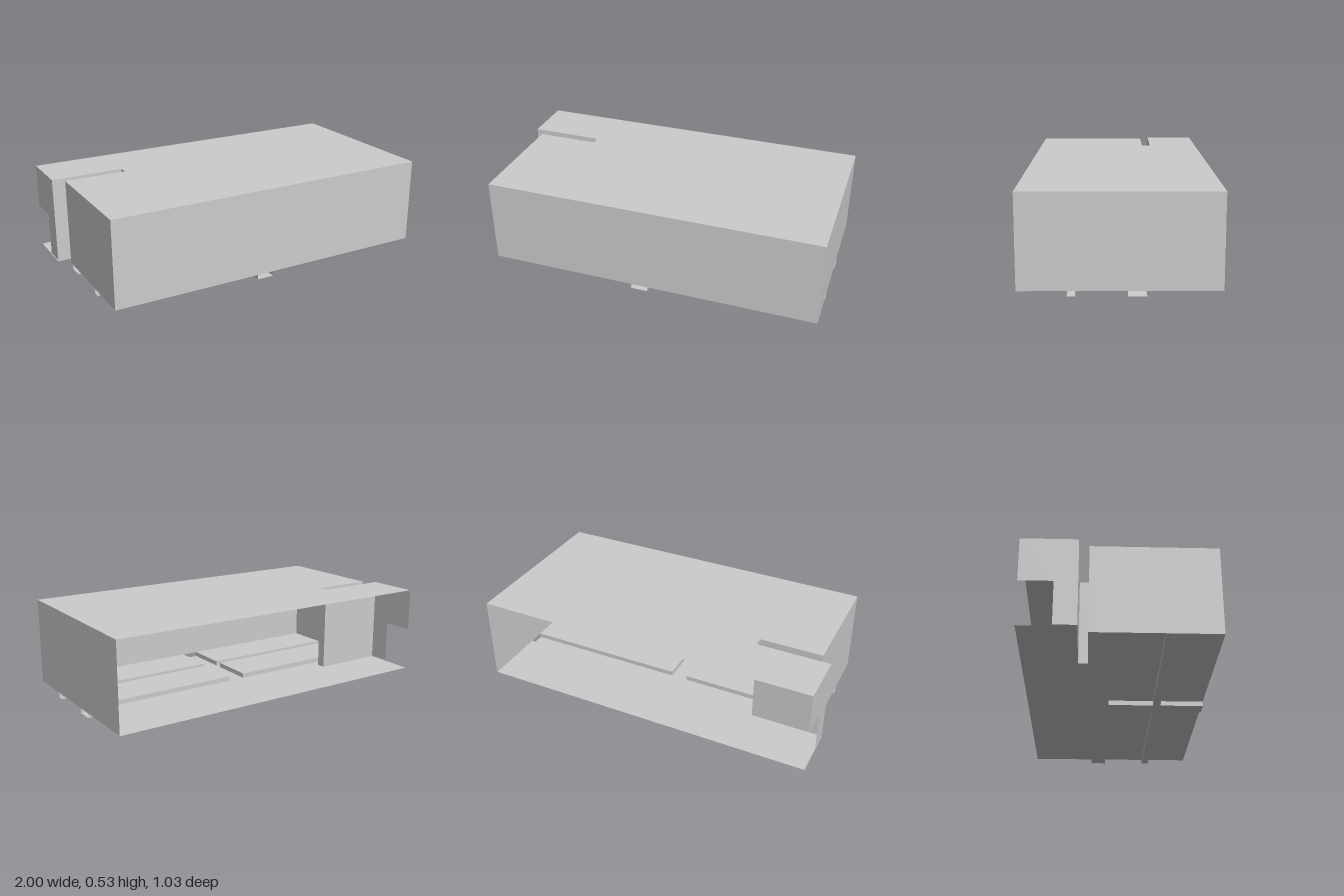
import * as THREE from 'three';

const TOP = 0.528, FLOOR = 0.028, FRONT = 0.515, BACK = -0.515;

export function createModel() {
  const model = new THREE.Group();
  const material = new THREE.MeshStandardMaterial({ color: 0xcccccc, side: THREE.DoubleSide });

  const add = (name, geometry) => {
    const mesh = new THREE.Mesh(geometry, material);
    mesh.name = name;
    model.add(mesh);
    return mesh;
  };

  // Horizontal sheet from [x, z] outline points
  const sheet = (name, points, y) => {
    const shape = new THREE.Shape(points.map(([x, z]) => new THREE.Vector2(x, -z)));
    add(name, new THREE.ShapeGeometry(shape).rotateX(-Math.PI / 2).translate(0, y, 0));
  };
  const rect = (name, x0, x1, z0, z1, y) =>
    sheet(name, [[x0, z1], [x1, z1], [x1, z0], [x0, z0]], y);

  // Upright sheet between two [x, z] points
  const wall = (name, [x0, z0], [x1, z1], y0, y1) => {
    const length = Math.hypot(x1 - x0, z1 - z0);
    const mesh = add(name, new THREE.PlaneGeometry(length, y1 - y0));
    mesh.position.set((x0 + x1) / 2, (y0 + y1) / 2, (z0 + z1) / 2);
    mesh.rotation.y = -Math.atan2(z1 - z0, x1 - x0);
  };

  // Ceiling with the narrow slot in its side
  const slot = [[-0.94, -0.16], [-0.58, -0.16], [-0.58, -0.213], [-1, -0.213]];
  sheet('ceiling', [[-0.94, FRONT], [1, FRONT], [1, BACK], [-1, BACK], ...slot.slice().reverse()], TOP);

  // Outer walls, the back stays open
  wall('frontWall', [-0.94, FRONT], [1, FRONT], FLOOR, TOP);
  wall('leftWall', [1, FRONT], [1, BACK], FLOOR, TOP);
  wall('rightWall', [-0.94, FRONT], [-0.94, -0.16], FLOOR, TOP);
  for (let i = 0; i < 3; i++) wall('slotWall', slot[i], slot[i + 1], FLOOR, TOP);

  // Stepped side wall with an open lower corner
  const step = new THREE.Shape([
    [0.515, TOP], [0.213, TOP], [0.213, 0.035], [0.335, 0.035], [0.335, 0.28], [0.515, 0.28],
  ].map(([u, y]) => new THREE.Vector2(u, y)));
  add('steppedWall', new THREE.ShapeGeometry(step).rotateY(Math.PI / 2).translate(-1, 0, 0));

  // Rear floor with the same slot
  const trenchBack = -0.135, trenchFront = -0.04;
  sheet('rearFloor', [[-0.94, trenchBack], [1, trenchBack], [1, BACK], [-1, BACK],
    ...slot.slice().reverse()], FLOOR);

  // Four floor panels with channel walls on their inner edges
  const spansX = [[-0.94, -0.08], [0.02, 1]];
  const spansZ = [[trenchFront, 0.221], [0.264, FRONT]];
  spansX.forEach(([x0, x1], i) => {
    const innerX = i === 0 ? x1 : x0;
    for (const [z0, z1] of spansZ) {
      rect('floorPanel', x0, x1, z0, z1, FLOOR);
      wall('channelWall', [innerX, z0], [innerX, z1], 0, FLOOR);
      wall('channelWall', [x0, z0], [x1, z0], 0, FLOOR);
    }
    wall('channelWall', [x0, 0.221], [x1, 0.221], 0, FLOOR);
    rect('crossChannelBottom', x0, x1, 0.221, 0.264, 0);
  });

  // Sunken rear trench and the middle channel
  wall('trenchWall', [-0.94, trenchBack], [1, trenchBack], 0, FLOOR);
  rect('trenchBottom', -0.94, 1, trenchBack, trenchFront, 0);
  rect('middleChannelBottom', -0.08, 0.02, trenchFront, FRONT, 0);

  return model;
}
